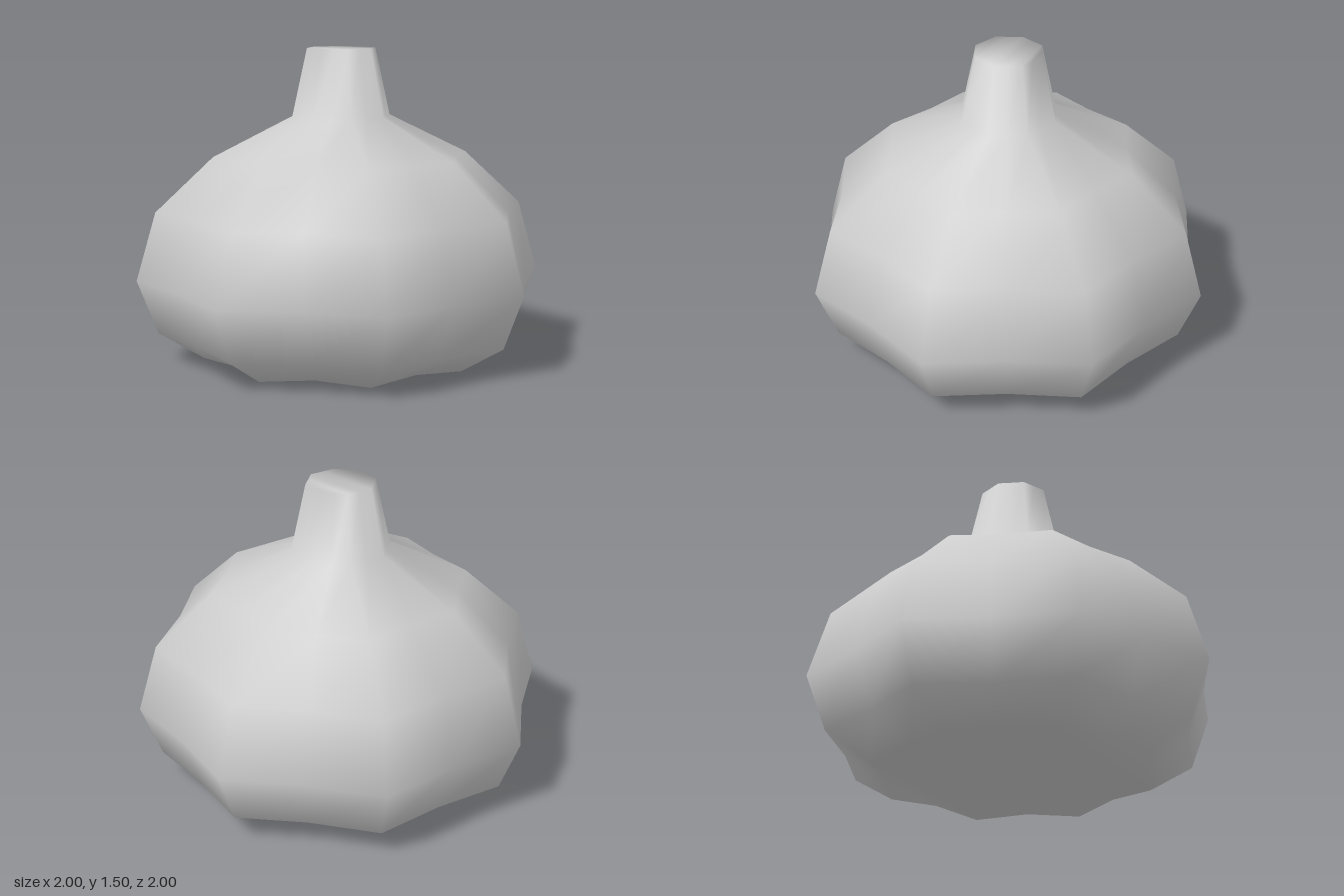
import * as THREE from 'three';

const LOBES = 8;
const SIDES = LOBES * 2; // one ridge and one valley per lobe

// Rings from base to stem tip: [ridge radius, ridge y, valley ratio, valley lift]
const RINGS = [
  [0.68, 0.0, 0.91, 0.018],
  [0.9, 0.135, 0.9, 0],
  [1.0, 0.395, 0.9, 0],
  [0.905, 0.725, 0.9, 0],
  [0.625, 0.985, 0.9, 0],
  [0.24, 1.175, 0.9, 0],
  [0.168, 1.5, 0.92, 0],
];

// Closes a ring with a zigzag of triangles
function capRing(index, start, up) {
  const add = (a, b, c) =>
    index.push(...(up ? [a, b, c] : [a, c, b]).map((i) => start + i));
  let lo = 0;
  let hi = SIDES - 1;
  while (hi - lo > 1) {
    add(lo, lo + 1, hi);
    if (hi - lo > 2) add(lo + 1, hi - 1, hi);
    lo++;
    hi--;
  }
}

function lobedGeometry() {
  const position = [];
  const index = [];

  RINGS.forEach(([radius, y, ratio, lift], i) => {
    for (let j = 0; j < SIDES; j++) {
      const angle = (j / SIDES) * Math.PI * 2;
      const valley = j % 2 === 1;
      const r = valley ? radius * ratio : radius;
      position.push(r * Math.sin(angle), valley ? y + lift : y, r * Math.cos(angle));

      // Wall between this ring and the next
      if (i < RINGS.length - 1) {
        const k = (j + 1) % SIDES;
        const a = i * SIDES + j;
        const b = i * SIDES + k;
        index.push(a, b, b + SIDES, a, b + SIDES, a + SIDES);
      }
    }
  });

  capRing(index, 0, false);
  capRing(index, (RINGS.length - 1) * SIDES, true);

  const geometry = new THREE.BufferGeometry();
  geometry.setAttribute('position', new THREE.Float32BufferAttribute(position, 3));
  geometry.setIndex(index);
  geometry.computeVertexNormals();
  return geometry;
}

export function createModel() {
  const group = new THREE.Group();
  group.name = 'pumpkin';

  // Ribbed body that runs smoothly into the stem
  const body = new THREE.Mesh(
    lobedGeometry(),
    new THREE.MeshStandardMaterial({ color: 0xcccccc })
  );
  body.name = 'bodyWithStem';
  group.add(body);

  return group;
}
